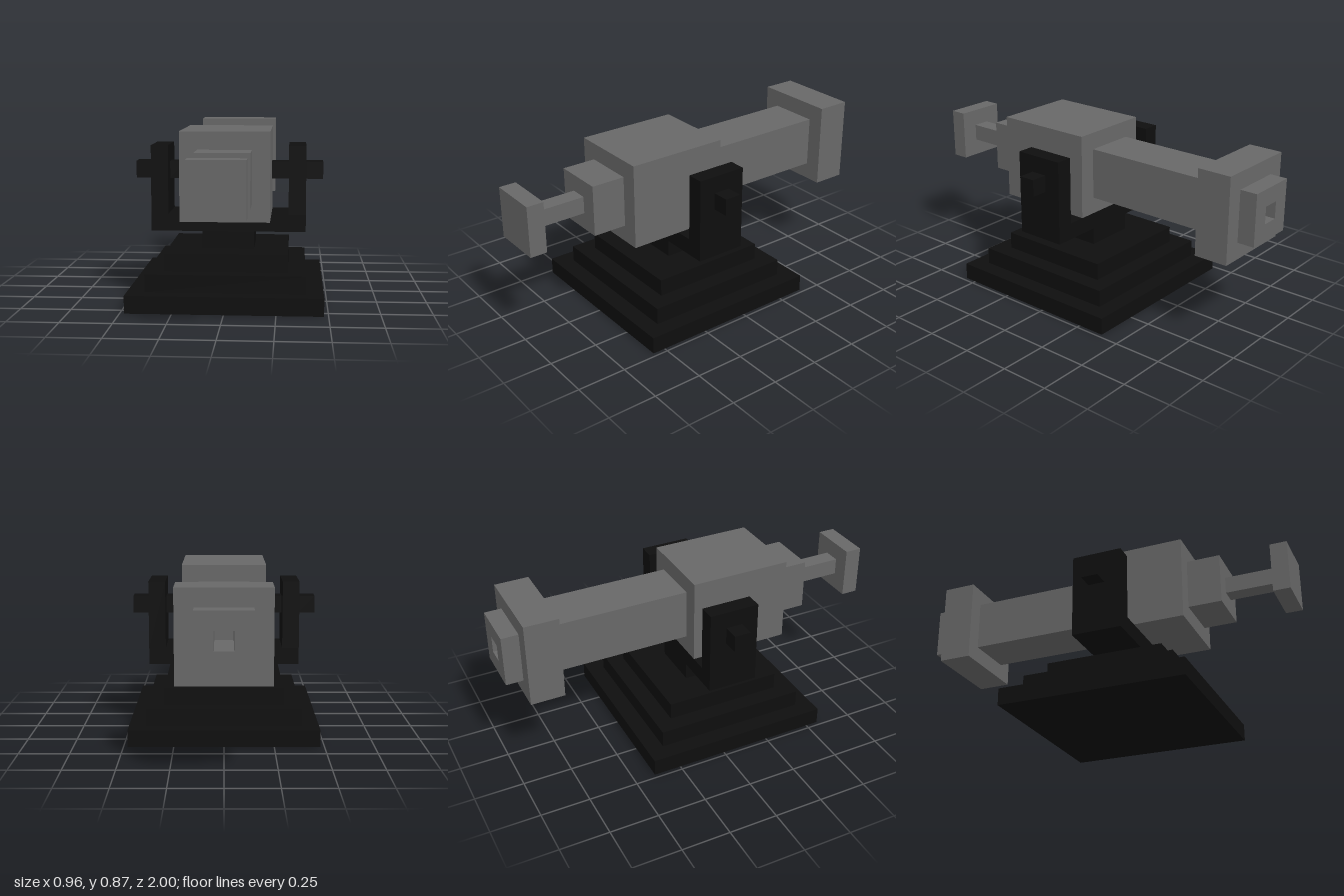
import * as THREE from 'three';

// Everything sits on a grid of 23 cells along the longest side
const U = 2 / 23;

export function createModel() {
  const group = new THREE.Group();
  const grey = new THREE.MeshStandardMaterial({ color: 0x686868 });
  grey.name = 'gunMetalGrey';
  const black = new THREE.MeshStandardMaterial({ color: 0x0e0e0e });
  black.name = 'mountBlack';

  const add = (name, geometry, material, x, y, z) => {
    const mesh = new THREE.Mesh(geometry, material);
    mesh.name = name;
    mesh.position.set(x * U, y * U, z * U);
    group.add(mesh);
  };
  // Block given by size and centre, in cells
  const block = (name, material, w, h, d, x, y, z) =>
    add(name, new THREE.BoxGeometry(w * U, h * U, d * U), material, x, y, z);

  const pivotZ = 1;
  const axisY = 7.5;

  // Stepped base
  [11, 9, 7].forEach((size, i) =>
    block(`baseStep${i + 1}`, black, size, 1, size, 0, i + 0.5, pivotZ));

  // Fork on its post
  block('post', black, 3, 1, 3, 0, 3.5, pivotZ);
  block('forkCrossbar', black, 9, 1, 3, 0, 4.5, pivotZ);
  for (const [side, s] of [['left', 1], ['right', -1]]) {
    block(`${side}ForkArm`, black, 1, 4, 3, s * 4, 7, pivotZ);
    block(`${side}InnerTrunnion`, black, 1, 1, 1, s * 3, axisY, pivotZ);
    block(`${side}OuterTrunnion`, black, 1, 1, 1, s * 5, axisY, pivotZ);
  }

  // Square sections along the barrel axis: name, width, start z, end z
  const sections = [
    ['barrel', 3, -8.5, -0.5],
    ['breechBody', 5, -0.5, 5.5],
    ['breechEnd', 3, 5.5, 7.5],
    ['handleRod', 1, 7.5, 10.5],
    ['handleKnob', 3, 10.5, 11.5],
  ];
  for (const [name, w, z0, z1] of sections)
    block(name, grey, w, w, z1 - z0, 0, axisY, (z0 + z1) / 2);

  // Muzzle with an open square bore
  const square = (Type, w) => {
    const h = (w * U) / 2;
    return new Type([[-h, -h], [h, -h], [h, h], [-h, h]].map(p => new THREE.Vector2(...p)));
  };
  const bored = (name, w, z0, depth) => {
    const shape = square(THREE.Shape, w);
    shape.holes.push(square(THREE.Path, 1));
    const geometry = new THREE.ExtrudeGeometry(shape, { depth: depth * U, bevelEnabled: false });
    add(name, geometry, grey, 0, axisY, z0);
  };
  bored('muzzleCollar', 5, -10.5, 2);
  bored('muzzleTip', 3, -11.5, 1);

  return group;
}
